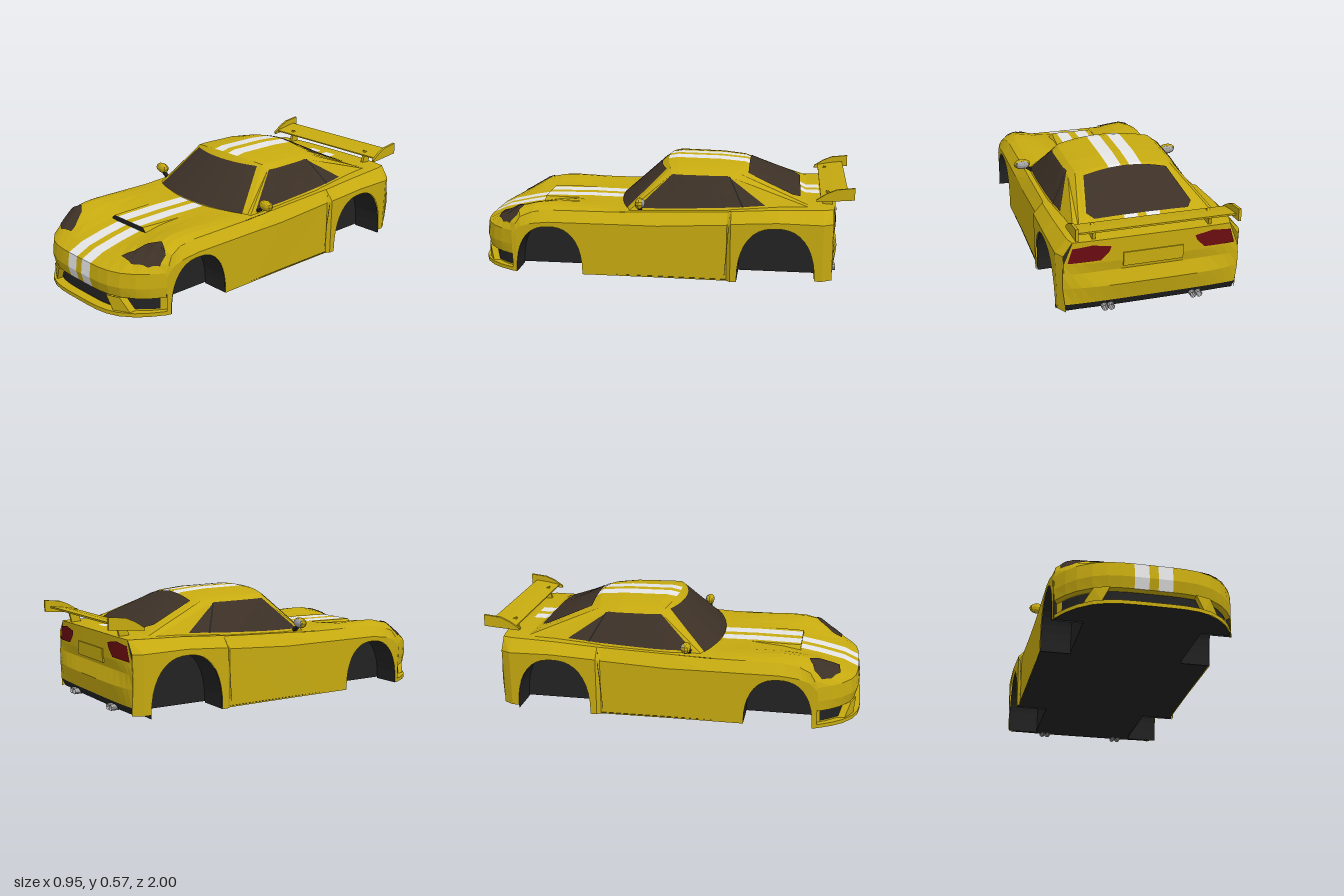
import * as THREE from 'three';

const paint = (name, color) => new THREE.MeshStandardMaterial({ name, color, side: THREE.DoubleSide, flatShading: true });
const lerp = THREE.MathUtils.lerp;

export function createModel() {
  const car = new THREE.Group();
  car.name = 'sportsCar';
  const yellow = paint('yellow paint', 0xc6aa10), white = paint('white stripe', 0xe4e4e4);
  const black = paint('black plastic', 0x222222), glass = paint('tinted glass', 0x3d3127);
  const red = paint('red lamp', 0x6a0c10), chrome = paint('chrome', 0xa4a4a4);

  const add = (name, geo, mat) => {
    const m = new THREE.Mesh(geo, mat);
    m.name = name;
    car.add(m);
    return m;
  };

  // Surface through rows of points; pick(i, j) chooses the material of each cell
  const grid = (name, rows, mats, pick = () => 0) => {
    const list = [].concat(mats), bins = list.map(() => []);
    for (let i = 0; i < rows.length - 1; i++)
      for (let j = 0; j < rows[i].length - 1; j++) {
        const a = rows[i][j], b = rows[i][j + 1], c = rows[i + 1][j], d = rows[i + 1][j + 1];
        bins[pick(i, j)].push(...a, ...c, ...b, ...b, ...c, ...d);
      }
    const geo = new THREE.BufferGeometry();
    geo.setAttribute('position', new THREE.Float32BufferAttribute(bins.flat(), 3));
    let start = 0;
    bins.forEach((b, k) => { geo.addGroup(start, b.length / 3, k); start += b.length / 3; });
    geo.computeVertexNormals();
    return add(name, geo, list.length > 1 ? list : list[0]);
  };
  const mirrorRow = half => [...half.slice(1).reverse().map(([x, y, z]) => [-x, y, z]), ...half];

  // Half row from the centre line to the edge, with columns at the stripe borders
  const halfRow = (yc, zc, xe, ye, ze, bump, py, pz) =>
    [0, 0.022 / xe, 0.092 / xe, 0.35, 0.5, 0.65, 0.8, 0.9, 1].map((t, k) =>
      [xe * t, lerp(yc, ye, t ** py) + bump * [0, 0, 0, 0.1, 0.4, 0.8, 1, 0.7, 0][k], lerp(zc, ze, t ** pz)]);

  // Thin plate between two outlines, laid on a target surface along one axis
  const ray = new THREE.Raycaster();
  const divide = (pts, n) => pts.flatMap((p, i) => i === pts.length - 1 ? [p]
    : Array.from({ length: n }, (_, k) => p.map((v, q) => lerp(v, pts[i + 1][q], k / n))));
  const drape = (name, mat, A, B, axis, sign, target, mx = 1, off = 0.005) => {
    const P = divide(A, 6), Q = divide(B, 6);
    let last = 0;
    const place = (a, b) => {
      const put = v => axis === 'x' ? [v, b, a] : axis === 'y' ? [a * mx, v, b] : [a * mx, b, v];
      const dir = new THREE.Vector3();
      dir[axis] = -sign;
      ray.set(new THREE.Vector3(...put(5 * sign)), dir);
      const hit = ray.intersectObject(target)[0];
      if (hit) last = hit.point[axis] + off * sign;
      return put(last);
    };
    return grid(name, P.map((p, i) => divide([p, Q[i]], 10).map(q => place(...q))), mat);
  };

  // Body side table: z, shoulder x, shoulder y, widest x, widest y, sill x
  const sides = [
    [0.78, 0.435, 0.225, 0.44, 0.2, 0.435], [0.76, 0.435, 0.262, 0.442, 0.225, 0.44],
    [0.735, 0.425, 0.3, 0.443, 0.25, 0.442], [0.67, 0.41, 0.325, 0.445, 0.27, 0.445],
    [0.58, 0.405, 0.335, 0.446, 0.28, 0.446], [0.2, 0.4, 0.335, 0.445, 0.28, 0.445],
    [0, 0.405, 0.345, 0.447, 0.28, 0.445], [-0.36, 0.41, 0.36, 0.45, 0.3, 0.45],
    [-0.38, 0.42, 0.365, 0.468, 0.31, 0.465], [-0.62, 0.42, 0.38, 0.473, 0.325, 0.468],
    [-0.85, 0.41, 0.385, 0.468, 0.32, 0.46], [-0.9, 0.395, 0.385, 0.44, 0.32, 0.43]];
  const sideAt = z => {
    const i = Math.max(1, sides.findIndex(s => s[0] <= z + 1e-6));
    const a = sides[i - 1], b = sides[i], t = (a[0] - z) / (a[0] - b[0]);
    return a.map((v, k) => lerp(v, b[k], t));
  };

  // Wheel arches
  const arches = [{ c: 0.578, r: 0.178, h: 0.255, x: 0.444 }, { c: -0.613, r: 0.2, h: 0.295, x: 0.462 }];
  const archY = z => Math.max(0, ...arches.map(({ c, r, h }) =>
    h * Math.max(0, 1 - (Math.abs(z - c) / r) ** 2.4) ** (1 / 2.4)));
  const archZ = ({ c, r }) => Array.from({ length: 21 }, (_, k) => c + r * Math.cos(k * Math.PI / 20));

  // Bumper, bonnet, deck and tail as one sheet
  const nose = [
    [0, 1, 0.435, 0, 0.78, 0], [0.02, 1, 0.435, 0.02, 0.78, 0], [0.02, 0.95, 0.42, 0.02, 0.755, 0],
    [0.09, 0.945, 0.42, 0.09, 0.755, 0], [0.095, 0.975, 0.435, 0.095, 0.78, 0],
    [0.15, 0.99, 0.44, 0.15, 0.78, 0], [0.225, 0.98, 0.437, 0.225, 0.778, 0],
    [0.262, 0.9, 0.435, 0.262, 0.76, 0.01], [0.29, 0.78, 0.425, 0.3, 0.735, 0.038]];
  const deck = [[0.67, 0.31, 0.038], [0.58, 0.325, 0.028], [0.4, 0.34, 0.013], [0.24, 0.338, 0.005], [0, 0.345, 0],
    [-0.36, 0.36, 0], [-0.38, 0.362, 0], [-0.62, 0.385, 0], [-0.74, 0.394, 0], [-0.83, 0.395, 0], [-0.85, 0.395, 0]]
    .map(([z, y, bump]) => [y, z, sideAt(z)[1], sideAt(z)[2], z, bump]);
  const tail = [[0.39, -0.915, 0.395, 0.385, -0.9, 0], [0.27, -0.915, 0.44, 0.27, -0.895, 0],
    [0.22, -0.905, 0.445, 0.22, -0.9, 0], [0.15, -0.93, 0.445, 0.15, -0.9, 0],
    [0.06, -0.91, 0.435, 0.06, -0.9, 0], [0.02, -0.89, 0.43, 0.02, -0.88, 0]];
  const spec = [...nose, ...deck, ...tail];
  const striped = j => j === 6 || j === 9;
  const body = grid('bodyShell', spec.map(r => mirrorRow(halfRow(...r, 3, 4))), [yellow, white, black], (i, j) => {
    if (i === spec.length - 2) return 2;
    const z = (spec[i][1] + spec[i + 1][1]) / 2;
    return striped(j) && i >= 4 && (z > 0.24 || (z < -0.74 && z > -0.83)) ? 1 : 0;
  });

  // Flanks, cut by the arches
  const stations = [...new Set([...sides.map(s => s[0]), ...arches.flatMap(archZ)])].sort((a, b) => b - a);
  for (const s of [1, -1]) {
    const flank = grid('bodySide', stations.map(z => {
      const [, xe, ye, xm, ym, xb] = sideAt(z), low = Math.max(archY(z), z < -0.8 ? 0.02 : 0);
      return [[s * xe, ye, z], [s * xm, Math.max(ym, low + 0.004), z], [s * lerp(xb, xm, low / 0.3), low, z]];
    }), yellow);
    for (const a of arches) {
      const zs = archZ(a);
      grid('wheelWell', [zs.map(z => [s * a.x, archY(z), z]), zs.map(z => [s * 0.29, archY(z), z]),
        zs.map(z => [s * 0.29, 0.008, z])], black);
    }
    drape('doorSeam', black, [[-0.348, 0.03], [-0.372, 0.34]], [[-0.351, 0.03], [-0.375, 0.34]], 'x', s, flank, 1, 0.002);
  }

  // Underside
  grid('underside', [[0.99, 0.12], [0.97, 0.24], [0.92, 0.32], [0.86, 0.38], [0.78, 0.43], [0.756, 0.435], [0.756, 0.29],
    [0.4, 0.29], [0.4, 0.443], [-0.413, 0.455], [-0.413, 0.29], [-0.813, 0.29], [-0.813, 0.45], [-0.885, 0.43]]
    .map(([z, x]) => [[-x, z < -0.8 ? 0.02 : 0.008, z], [x, z < -0.8 ? 0.02 : 0.008, z]]), black);

  // Cabin: windscreen, roof and rear pillars, then down to the belt line
  const cabinRows = [
    [[0.33, 0.25, 0.345, 0.33, 0.18], [0.36, 0.33, 0.175], [0.38, 0.33, 0.17]],
    [[0.565, -0.01, 0.255, 0.545, -0.045], [0.285, 0.52, -0.055], [0.385, 0.335, -0.02]],
    [[0.575, -0.06, 0.26, 0.545, -0.09], [0.292, 0.52, -0.09], [0.385, 0.338, -0.08]],
    [[0.572, -0.3, 0.26, 0.54, -0.3], [0.29, 0.515, -0.3], [0.385, 0.35, -0.3]],
    [[0.56, -0.44, 0.25, 0.53, -0.4], [0.285, 0.505, -0.39], [0.385, 0.355, -0.45]],
    [[0.385, -0.78, 0.33, 0.385, -0.78], [0.36, 0.383, -0.78], [0.385, 0.37, -0.78]]];
  const cabin = grid('cabin', cabinRows.map(([r, a, b]) => mirrorRow([...halfRow(...r, 0, 2, 2), a, b])),
    [yellow, white], (i, j) => (j === 8 || j === 11) && i > 0 ? 1 : 0);

  // Glass
  drape('windscreen', glass, [[-0.33, 0.342], [-0.235, 0.538]], [[0.33, 0.342], [0.235, 0.538]], 'z', 1, cabin);
  drape('rearWindow', glass, [[-0.22, -0.455], [-0.27, -0.69], [-0.24, -0.73]],
    [[0.22, -0.455], [0.27, -0.69], [0.24, -0.73]], 'y', 1, cabin);
  for (const s of [1, -1]) {
    drape('sideWindow', glass, [[0.12, 0.354], [-0.1, 0.36], [-0.38, 0.374], [-0.55, 0.387]],
      [[0.1, 0.372], [-0.06, 0.522], [-0.35, 0.518], [-0.54, 0.394]], 'x', s, cabin);
    drape('windowDivider', black, [[-0.43, 0.378], [-0.355, 0.517]], [[-0.44, 0.378], [-0.365, 0.513]], 'x', s, cabin, 1, 0.008);
  }

  // Bonnet scoop
  const scoopX = [0, 0.022, 0.092, 0.12, 0.14];
  grid('bonnetScoop', [[0.4, 0.341, 0.338], [0.67, 0.337, 0.315], [0.668, 0.311, 0.311]].map(([z, y, outer]) =>
    mirrorRow(scoopX.map((x, k) => [x, k === 4 ? outer : y, z]))), [yellow, white, black],
    (i, j) => i === 1 ? 2 : j === 2 || j === 5 ? 1 : 0);

  // Lamps and front openings
  drape('grille', black, [[-0.25, 0.025], [-0.21, 0.087]], [[0.25, 0.025], [0.21, 0.087]], 'z', 1, body);
  const noseZ = x => 0.985 - 0.21 * (x / 0.435) ** 4;
  for (const s of [1, -1]) {
    drape('sideVent', black, [[0.3, 0.028], [0.28, 0.086]], [[0.4, 0.028], [0.4, 0.086]], 'z', 1, body, s);
    grid('grilleStrut', [[0.095, 0.205, 0.28], [0.018, 0.245, 0.325]].map(([y, a, b]) =>
      [[s * a, y, noseZ(a) - 0.05], [s * a, y, noseZ(a)], [s * b, y, noseZ(b)], [s * b, y, noseZ(b) - 0.05]]), yellow);
    drape('headlight', glass, [[0.215, 0.88], [0.3, 0.885], [0.375, 0.842], [0.41, 0.795]],
      [[0.225, 0.85], [0.285, 0.765], [0.34, 0.725], [0.405, 0.755]], 'y', 1, body, s);
    drape('tailLight', red, [[0.22, 0.325], [0.26, 0.285], [0.42, 0.28]],
      [[0.21, 0.352], [0.3, 0.367], [0.397, 0.355]], 'z', -1, body, s);

    // Twin exhaust tips
    for (const dx of [-0.016, 0.016]) {
      const tip = add('exhaustTip', new THREE.CylinderGeometry(0.016, 0.016, 0.08, 10, 1, true).rotateX(Math.PI / 2), chrome);
      tip.position.set(s * 0.225 + dx, 0.028, -0.885);
    }

    // Door mirrors
    const shell = add('mirrorShell', new THREE.SphereGeometry(1, 10, 6), yellow);
    shell.scale.set(0.047, 0.029, 0.024);
    shell.position.set(s * 0.425, 0.393, 0.095);
    const face = add('mirrorGlass', new THREE.SphereGeometry(1, 10, 6), chrome);
    face.scale.set(0.041, 0.024, 0.022);
    face.position.set(s * 0.425, 0.393, 0.088);
    const stalk = add('mirrorStalk', new THREE.BoxGeometry(0.05, 0.014, 0.02), black);
    stalk.position.set(s * 0.385, 0.36, 0.1);
    stalk.rotation.z = s * 0.6;

    // Wing end plates and posts
    const plate = new THREE.Shape([[0.81, 0.425], [0.81, 0.437], [0.86, 0.47], [0.91, 0.492], [1, 0.502], [1, 0.44], [0.9, 0.432]]
      .map(p => new THREE.Vector2(...p)));
    const end = add('wingEndPlate', new THREE.ExtrudeGeometry(plate, { depth: 0.014, bevelEnabled: false })
      .translate(0, 0, -0.007).rotateY(Math.PI / 2), yellow);
    end.position.x = s * 0.397;
    const post = add('wingPost', new THREE.BoxGeometry(0.016, 0.08, 0.05), yellow);
    post.position.set(s * 0.29, 0.415, -0.875);
    post.rotation.x = -0.25;
  }

  // Rear wing and number plate panel
  const wing = new THREE.Shape([[0.83, 0.438], [0.83, 0.445], [0.9, 0.458], [0.97, 0.467], [0.97, 0.458], [0.9, 0.444]]
    .map(p => new THREE.Vector2(...p)));
  add('rearWing', new THREE.ExtrudeGeometry(wing, { depth: 0.79, bevelEnabled: false })
    .translate(0, 0, -0.395).rotateY(Math.PI / 2), yellow);
  add('platePanel', new THREE.BoxGeometry(0.3, 0.07, 0.008), yellow).position.set(0, 0.275, -0.916);

  return car;
}
